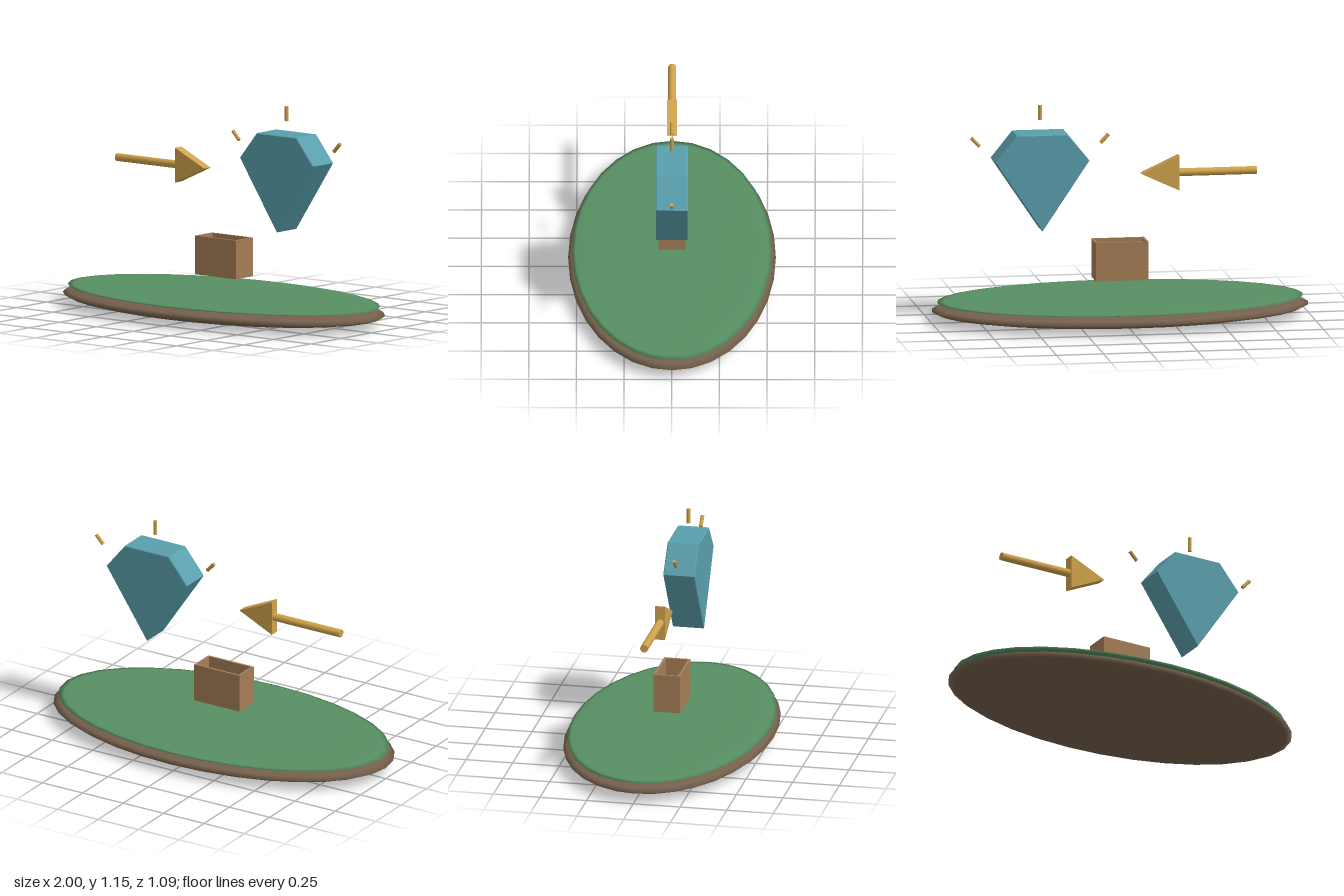
import * as THREE from 'three';

const material = (color) => new THREE.MeshStandardMaterial({ color });

export function createModel() {
  const model = new THREE.Group();
  const soil = material(0x75614c);
  const grass = material(0x578f62);
  const wood = material(0xa57d56);
  const gold = material(0xcfa34c);
  const crystal = material(0x5a9fad);

  const add = (name, geometry, mat, x = 0, y = 0, z = 0, parent = model) => {
    const mesh = new THREE.Mesh(geometry, mat);
    mesh.name = name;
    mesh.position.set(x, y, z);
    parent.add(mesh);
    return mesh;
  };

  // Flat slab with finely chamfered edges, kept within the given outline
  const slab = (points, depth, bevel) => {
    const shape = new THREE.Shape(points.map(([x, y]) => new THREE.Vector2(x, y)));
    const geometry = new THREE.ExtrudeGeometry(shape, {
      depth: depth - 2 * bevel,
      bevelEnabled: bevel > 0,
      bevelThickness: bevel,
      bevelSize: bevel,
      bevelOffset: -bevel,
      bevelSegments: 1,
    });
    return geometry.translate(0, 0, bevel - depth / 2);
  };

  // Oval island: flattened spheres for the soil and its grass cap
  const ball = new THREE.SphereGeometry(1, 32, 12);
  add('islandSoil', ball, soil, 0, 0.06).scale.set(1, 0.06, 0.545);
  add('islandGrass', ball, grass, 0, 0.105).scale.set(0.97, 0.016, 0.525);

  // Open crate: floor and four thin walls
  const crate = new THREE.Group();
  crate.name = 'openCrate';
  crate.position.y = 0.21;
  model.add(crate);
  const [w, h, d, t] = [0.28, 0.205, 0.142, 0.012];
  add('crateFloor', new THREE.BoxGeometry(w, t, d), wood, 0, t / 2, 0, crate);
  for (const s of [-1, 1]) {
    add('crateLongWall', new THREE.BoxGeometry(w, h - t, t), wood, 0, (h + t) / 2, s * (d - t) / 2, crate);
    add('crateEndWall', new THREE.BoxGeometry(t, h - t, d - 2 * t), wood, s * (w - t) / 2, (h + t) / 2, 0, crate);
  }

  // Floating gem
  const gemOutline = [[0, 0.487], [0.25, 0.86], [0.135, 1.002], [-0.135, 1.002], [-0.25, 0.86]];
  add('gem', slab(gemOutline, 0.168, 0.004), crystal, 0.425);

  // Three sparkle rays around the gem
  for (const side of [-1, 0, 1]) {
    const length = side ? 0.062 : 0.078;
    const ray = add('sparkleRay', new THREE.CylinderGeometry(0.01, 0.01, length, 10), gold,
      0.425 + side * 0.343, side ? 0.96 : 1.108);
    ray.rotation.z = -side * 0.75;
  }

  // Arrow pointing towards the gem
  const shaft = add('arrowShaft', new THREE.CylinderGeometry(0.021, 0.021, 0.42, 16), gold, -0.515, 0.767);
  shaft.rotation.z = Math.PI / 2;
  add('arrowHead', slab([[0, -0.093], [0.2, 0], [0, 0.093]], 0.054, 0), gold, -0.312, 0.767);

  return model;
}
